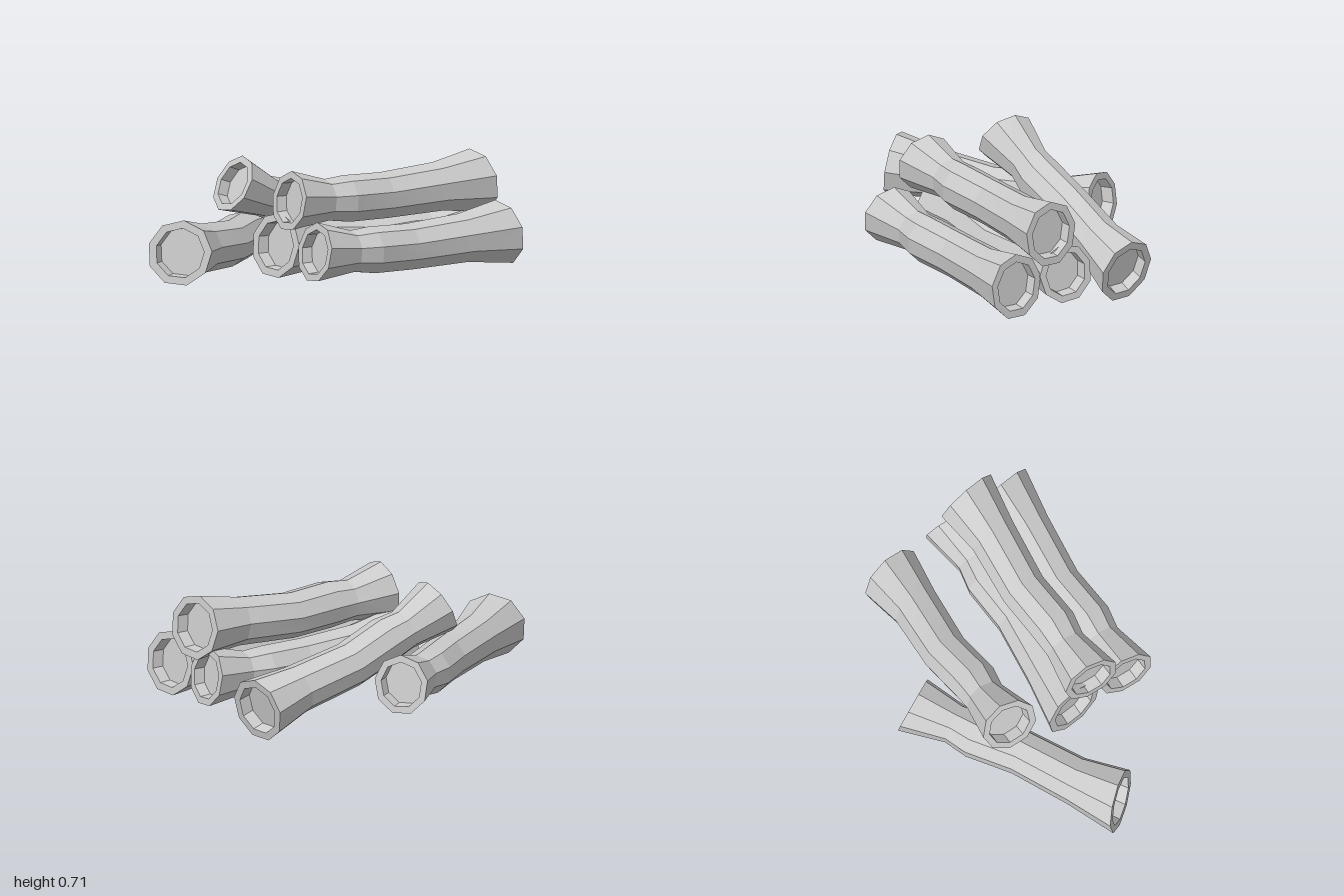
import * as THREE from 'three';
import { toCreasedNormals } from 'three/addons/utils/BufferGeometryUtils.js';

const SIDES = 9;

// Rings from back to front: z, radius, centre offset x / y, slant of the ring plane along x / y
const BACK = { z: -0.635, r: 0.181, x: 0.015, y: 0, sx: -0.14, sy: 0.12 };
const FRONT = { z: 0.64, r: 0.164, x: -0.005, y: 0, sx: 0.06, sy: -0.16 };
const SHAFT = [
  { z: -0.36, r: 0.138, x: 0.01, y: -0.01, sx: -0.05, sy: 0.05 },
  { z: -0.01, r: 0.13, x: -0.02, y: -0.03, sx: 0, sy: 0 },
  { z: 0.26, r: 0.132, x: 0, y: -0.022, sx: 0, sy: 0 },
  { z: 0.39, r: 0.117, x: -0.01, y: -0.018, sx: 0.03, sy: -0.05 },
];
const RECESS = 0.065;

// Hollow-ended log: recessed cap, rim, wavy shaft, rim, recessed cap
function logGeometry() {
  const inset = (end, scale, dz) => ({ ...end, r: end.r * scale, z: end.z + dz });
  const rings = [
    inset(BACK, 0, RECESS), inset(BACK, 0.74, RECESS), inset(BACK, 0.76, 0),
    BACK, ...SHAFT, FRONT,
    inset(FRONT, 0.76, 0), inset(FRONT, 0.74, -RECESS), inset(FRONT, 0, -RECESS),
  ];
  const positions = [];
  const indices = [];
  for (const { z, r, x, y, sx, sy } of rings) {
    for (let j = 0; j < SIDES; j++) {
      const a = THREE.MathUtils.degToRad(95) + (j / SIDES) * Math.PI * 2;
      const dx = r * Math.cos(a);
      const dy = r * Math.sin(a);
      positions.push(x + dx, y + dy, z + sx * dx + sy * dy);
    }
  }
  for (let i = 0; i < rings.length - 1; i++) {
    for (let j = 0; j < SIDES; j++) {
      const k = (j + 1) % SIDES;
      const a = i * SIDES + j, b = i * SIDES + k;
      const c = a + SIDES, d = b + SIDES;
      if (rings[i].r > 0) indices.push(a, b, d);
      if (rings[i + 1].r > 0) indices.push(a, d, c);
    }
  }
  const geometry = new THREE.BufferGeometry();
  geometry.setAttribute('position', new THREE.Float32BufferAttribute(positions, 3));
  geometry.setIndex(indices);
  // Gentle bends along the shaft stay smooth, facets and flares stay sharp
  return toCreasedNormals(geometry, 0.18);
}

export function createModel() {
  const group = new THREE.Group();
  group.name = 'logPile';
  const geometry = logGeometry();
  const material = new THREE.MeshStandardMaterial({ color: 0xcccccc });

  // Three stacked logs, one lying across the front, one leaning on it
  const logs = [
    { name: 'stackLogLeft', position: [0.517, 0.26, -0.34], rotation: [0, 0, 0] },
    { name: 'stackLogRight', position: [0.187, 0.26, -0.33], rotation: [0, Math.PI - 0.012, 0] },
    { name: 'stackLogTop', position: [0.287, 0.519, -0.34], rotation: [0, 0, 0] },
    { name: 'crossLog', position: [-0.24, 0.259, 0.35], rotation: [0, -2.6, 0] },
    { name: 'leaningLog', position: [-0.242, 0.358, -0.328], rotation: [-0.31, 0, 0] },
  ];
  for (const { name, position, rotation } of logs) {
    const log = new THREE.Mesh(geometry, material);
    log.name = name;
    log.position.set(...position);
    log.rotation.set(...rotation);
    group.add(log);
  }
  return group;
}
